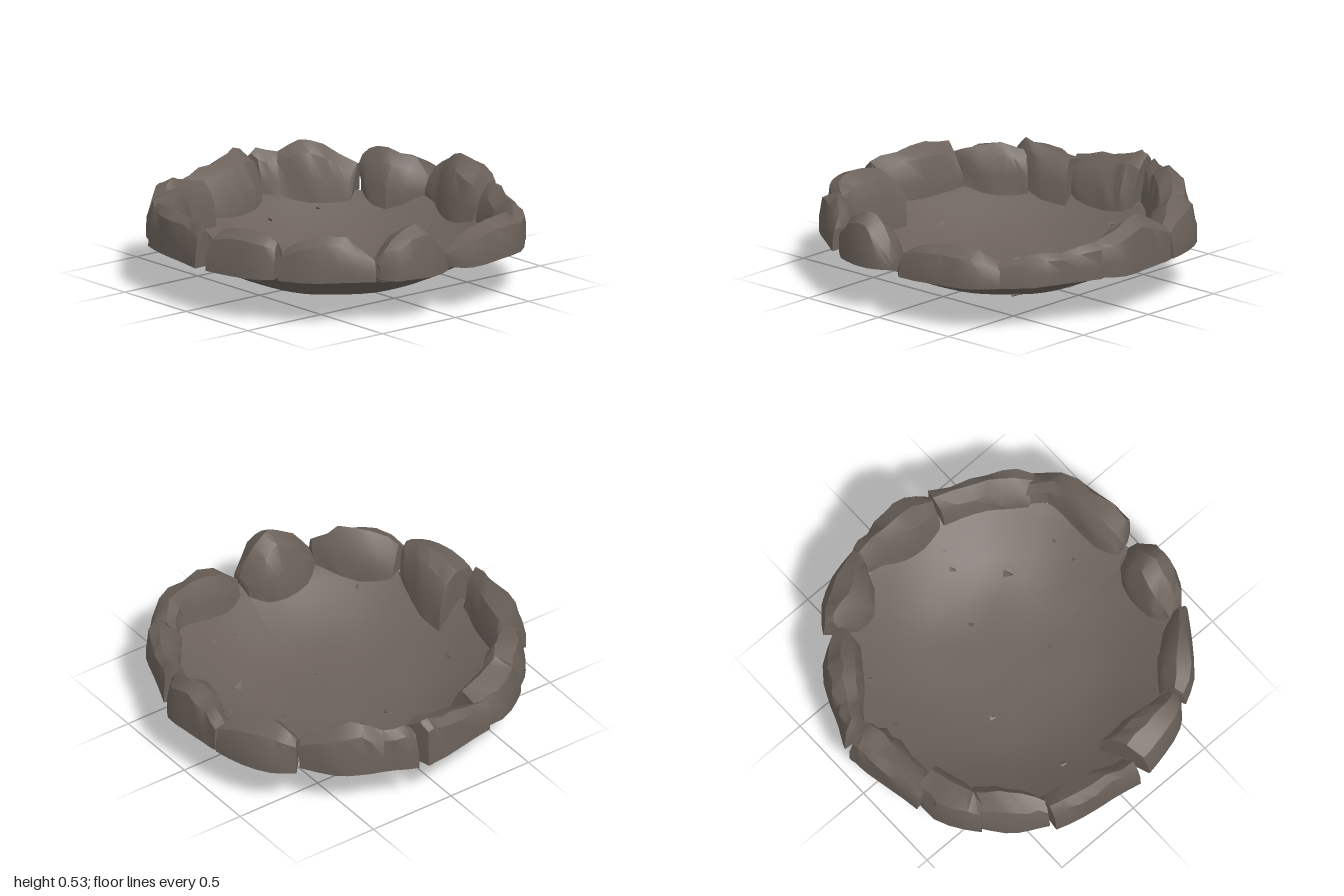
import * as THREE from 'three';
import { toCreasedNormals } from 'three/addons/utils/BufferGeometryUtils.js';

// seeded noise in -1..1
let seed = 7;
const rnd = () => {
  seed = (seed * 16807) % 2147483647;
  return (seed / 2147483647) * 2 - 1;
};

// each rock: crest position from outer (0) to inner (1) edge, then stations of
// [outerX, outerZ, innerX, innerZ, topY], running counterclockwise from above
const rocks = {
  frontRock: [0.4, [[-0.4, 0.87, -0.42, 0.78, 0.34], [-0.32, 0.94, -0.32, 0.72, 0.45], [-0.19, 0.98, -0.18, 0.72, 0.53], [-0.09, 0.98, -0.08, 0.74, 0.47], [0.01, 0.93, 0, 0.8, 0.31]]],
  frontLeftRock: [0.6, [[0.06, 0.9, 0.04, 0.82, 0.31], [0.13, 0.98, 0.16, 0.77, 0.4], [0.34, 0.95, 0.36, 0.75, 0.44], [0.53, 0.9, 0.5, 0.73, 0.44], [0.66, 0.78, 0.56, 0.64, 0.37]]],
  leftFrontRock: [0.35, [[0.64, 0.79, 0.55, 0.64, 0.38], [0.78, 0.65, 0.64, 0.53, 0.41], [0.84, 0.49, 0.71, 0.41, 0.41], [0.93, 0.28, 0.77, 0.25, 0.44]]],
  leftRock: [0.4, [[0.91, 0.27, 0.77, 0.22, 0.43], [0.99, 0.16, 0.75, 0.1, 0.48], [0.985, 0.02, 0.77, -0.03, 0.535], [0.97, -0.12, 0.81, -0.14, 0.47], [0.96, -0.22, 0.83, -0.23, 0.42]]],
  leftBackRock: [0.5, [[0.96, -0.23, 0.82, -0.24, 0.42], [0.92, -0.4, 0.65, -0.34, 0.48], [0.84, -0.55, 0.63, -0.48, 0.49], [0.73, -0.63, 0.66, -0.55, 0.44]]],
  backLeftRock: [0.45, [[0.69, -0.6, 0.56, -0.52, 0.41], [0.58, -0.77, 0.45, -0.6, 0.5], [0.47, -0.84, 0.35, -0.68, 0.53], [0.35, -0.89, 0.27, -0.76, 0.47], [0.24, -0.94, 0.2, -0.81, 0.49], [0.18, -0.97, 0.17, -0.84, 0.43]]],
  backRock: [0.25, [[0.13, -0.985, 0.17, -0.77, 0.49], [0.09, -0.98, 0.1, -0.74, 0.51], [0, -0.97, 0, -0.73, 0.47], [-0.15, -0.94, -0.2, -0.73, 0.45], [-0.32, -0.91, -0.3, -0.77, 0.41]]],
  backRightRock: [0.65, [[-0.28, -0.88, -0.22, -0.68, 0.43], [-0.42, -0.88, -0.36, -0.64, 0.46], [-0.57, -0.8, -0.5, -0.64, 0.5], [-0.64, -0.74, -0.55, -0.64, 0.44]]],
  rightBackRock: [0.65, [[-0.58, -0.76, -0.44, -0.62, 0.44], [-0.73, -0.65, -0.52, -0.54, 0.48], [-0.8, -0.55, -0.62, -0.47, 0.47], [-0.85, -0.45, -0.74, -0.41, 0.43]]],
  rightRock: [0.35, [[-0.89, -0.44, -0.71, -0.42, 0.47], [-0.93, -0.3, -0.74, -0.3, 0.49], [-0.96, -0.1, -0.79, -0.1, 0.48], [-0.99, 0.06, -0.83, 0.04, 0.45]]],
  rightFrontRock: [0.45, [[-0.98, 0.13, -0.68, 0.05, 0.45], [-0.95, 0.27, -0.67, 0.2, 0.48], [-0.9, 0.42, -0.7, 0.38, 0.48], [-0.82, 0.5, -0.72, 0.46, 0.44]]],
  frontRightRock: [0.45, [[-0.82, 0.53, -0.68, 0.47, 0.4], [-0.74, 0.66, -0.54, 0.58, 0.47], [-0.6, 0.77, -0.46, 0.69, 0.48], [-0.44, 0.88, -0.41, 0.78, 0.38]]],
};

// bowl profile and its height at a point
const centreZ = 0.025;
const profile = [[0, 0.004], [0.15, 0.01], [0.28, 0.018], [0.4, 0.034], [0.5, 0.064], [0.6, 0.11], [0.7, 0.166], [0.78, 0.218], [0.83, 0.25], [0.86, 0.262]];
function bowlHeight(x, z) {
  const r = Math.min(Math.hypot(x, z - centreZ), 0.86);
  const i = Math.max(1, profile.findIndex((p) => p[0] >= r));
  const [a, b] = [profile[i - 1], profile[i]];
  return a[1] + ((b[1] - a[1]) * (r - a[0])) / (b[0] - a[0]);
}

// loft a chunky, open-bottomed stone shell through the stations, seated on the bowl
function rockGeometry(crest, stations) {
  const outer = new THREE.CatmullRomCurve3(stations.map((s) => new THREE.Vector3(s[0], s[4], s[1])));
  const inner = new THREE.CatmullRomCurve3(stations.map((s) => new THREE.Vector3(s[2], 0, s[3])));
  const steps = (stations.length - 1) * 2;
  const floor = 0.25;
  const pos = [];
  const idx = [];
  const n = 7;
  for (let i = 0; i <= steps; i++) {
    const o = outer.getPoint(i / steps);
    const q = inner.getPoint(i / steps);
    const rise = o.y - floor;
    // fraction from outer to inner edge, and height
    const section = [
      [0, floor], [0.01, floor + rise * 0.4], [crest * 0.25, floor + rise * 0.82],
      [crest, o.y], [crest + (1 - crest) * 0.6, o.y - 0.05], [0.95, floor + rise * 0.3], [1, bowlHeight(q.x, q.z) - 0.004],
    ];
    section.forEach(([f, y], j) => {
      const k = j > 1 && j < 6 ? 0.012 : 0.002;
      pos.push(o.x + (q.x - o.x) * f + rnd() * k, y + rnd() * k * 0.6, o.z + (q.z - o.z) * f + rnd() * k);
    });
  }
  for (let i = 0; i < steps; i++) {
    for (let j = 0; j < n - 1; j++) {
      const a = i * n + j;
      idx.push(a, a + n, a + 1, a + 1, a + n, a + n + 1);
    }
  }
  // end caps, fanned from the crest
  const e = steps * n;
  for (let j = 1; j < n - 1; j++) {
    const a = (3 + j) % n;
    const b = (4 + j) % n;
    idx.push(3, a, b, e + 3, e + b, e + a);
  }
  const g = new THREE.BufferGeometry();
  g.setAttribute('position', new THREE.Float32BufferAttribute(pos, 3));
  g.setIndex(idx);
  return toCreasedNormals(g, 0.65);
}

export function createModel() {
  const model = new THREE.Group();
  const stone = new THREE.MeshStandardMaterial({ color: 0x6b615a, side: THREE.DoubleSide });
  stone.name = 'brown grey stone';
  const add = (name, geometry) => {
    const m = new THREE.Mesh(geometry, stone);
    m.name = name;
    model.add(m);
    return m;
  };

  // shallow bowl with gently uneven ground
  const bowl = new THREE.LatheGeometry(profile.map((p) => new THREE.Vector2(p[0], p[1])), 48);
  const p = bowl.attributes.position;
  for (let i = 0; i < p.count; i++) {
    const x = p.getX(i);
    const z = p.getZ(i);
    p.setY(i, p.getY(i) + 0.004 * Math.sin(x * 13 + 1) * Math.cos(z * 11));
  }
  bowl.computeVertexNormals();
  add('bowl', bowl).position.z = centreZ;

  // ring of rocks around the rim
  for (const [name, [crest, stations]] of Object.entries(rocks)) add(name, rockGeometry(crest, stations));

  // small stone chips poking through the bowl: x, z, size
  const chips = [
    [-0.14, -0.22, 0.03], [-0.61, -0.14, 0.03], [0.32, 0.04, 0.025], [-0.04, 0.27, 0.018], [0.39, 0.36, 0.045], [0.59, 0.15, 0.03],
    [0.69, 0.17, 0.025], [0.13, -0.66, 0.03], [0.4, -0.6, 0.022], [0.34, 0.64, 0.02], [-0.52, 0.56, 0.025], [0.2, 0.65, 0.02],
  ];
  for (const [x, z, size] of chips) {
    const chip = add('stoneChip', new THREE.TetrahedronGeometry(size));
    chip.position.set(x, bowlHeight(x, z) + 0.004, z);
    chip.rotation.set(rnd() * 0.4, rnd() * 3, rnd() * 0.4);
    chip.scale.set(1, 0.5, 0.6);
  }
  return model;
}
